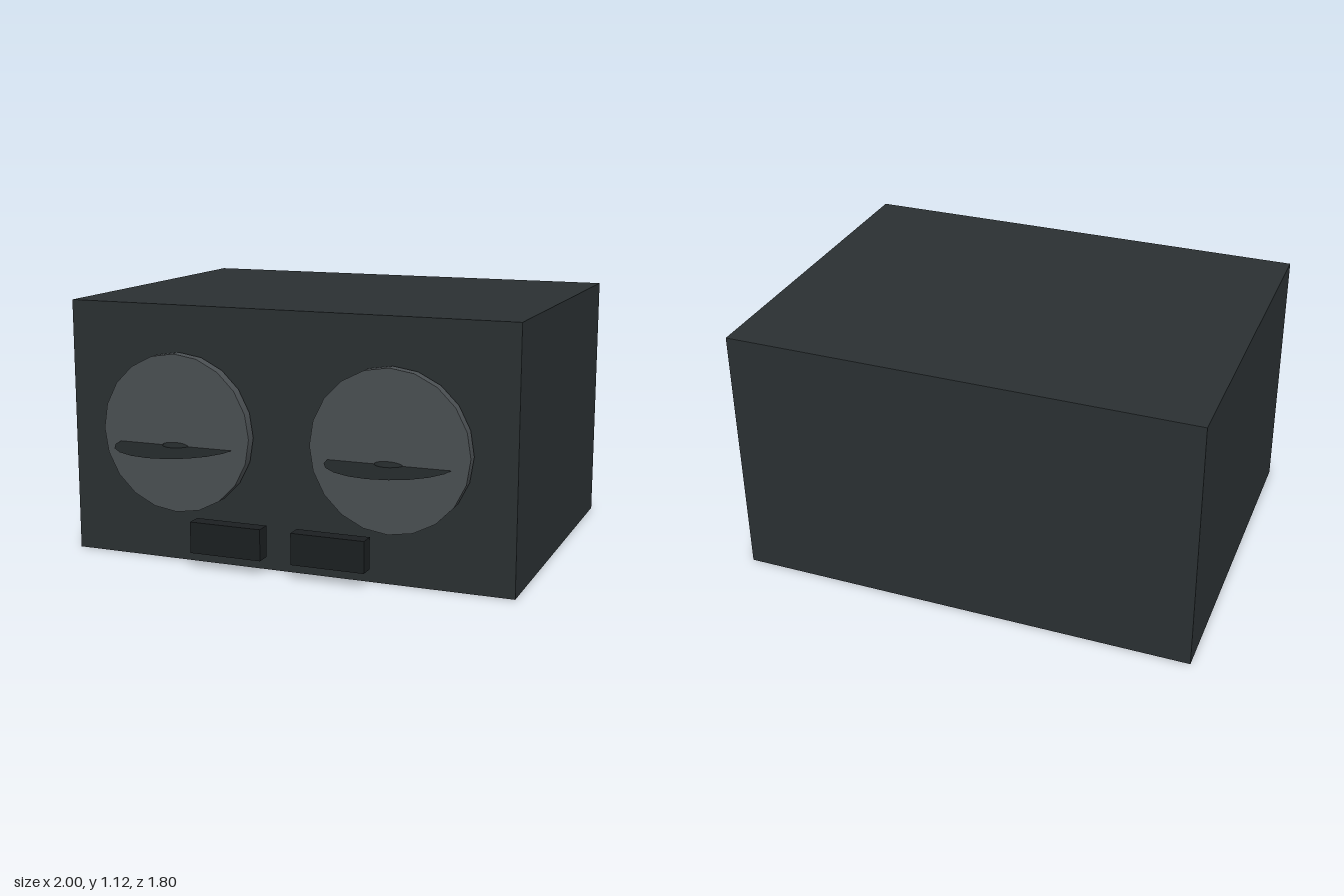
import * as THREE from 'three';

const material = (color, side = THREE.FrontSide) => new THREE.MeshStandardMaterial({ color, side });

function addPart(parent, name, geometry, mat, x, y, z) {
  const mesh = new THREE.Mesh(geometry, mat);
  mesh.name = name;
  mesh.position.set(x, y, z);
  parent.add(mesh);
  return mesh;
}

export function createModel() {
  const model = new THREE.Group();
  model.name = 'cabinet';
  const bodyMat = material(0x2a3032);
  const dialMat = material(0x4a4f52);
  const finMat = material(0x212627, THREE.DoubleSide);
  const blockMat = material(0x1b1f21);

  // Plain box body, set back to leave room for the fins in front
  addPart(model, 'body', new THREE.BoxGeometry(2, 1.115, 1.495), bodyMat, 0, 0.5575, -0.1525);

  for (const [side, s] of [['left', 1], ['right', -1]]) {
    // Round dial floating just ahead of the front face
    const dial = new THREE.CylinderGeometry(0.343, 0.343, 0.048, 20).rotateX(Math.PI / 2);
    addPart(model, side + 'Dial', dial, dialMat, s * 0.48, 0.572, 0.631);

    // Paper-thin horizontal disc cutting through the dial, with a flattened hub
    const fin = new THREE.CircleGeometry(0.268, 20).rotateX(-Math.PI / 2);
    addPart(model, side + 'Fin', fin, finMat, s * 0.48, 0.52, 0.634);
    const hub = new THREE.SphereGeometry(0.065, 20, 12).scale(1, 0.23, 1);
    addPart(model, side + 'FinHub', hub, finMat, s * 0.48, 0.52, 0.634);

    // Small block low on the front
    addPart(model, side + 'Block', new THREE.BoxGeometry(0.325, 0.137, 0.068), blockMat, s * 0.232, 0.136, 0.667);
  }
  return model;
}
